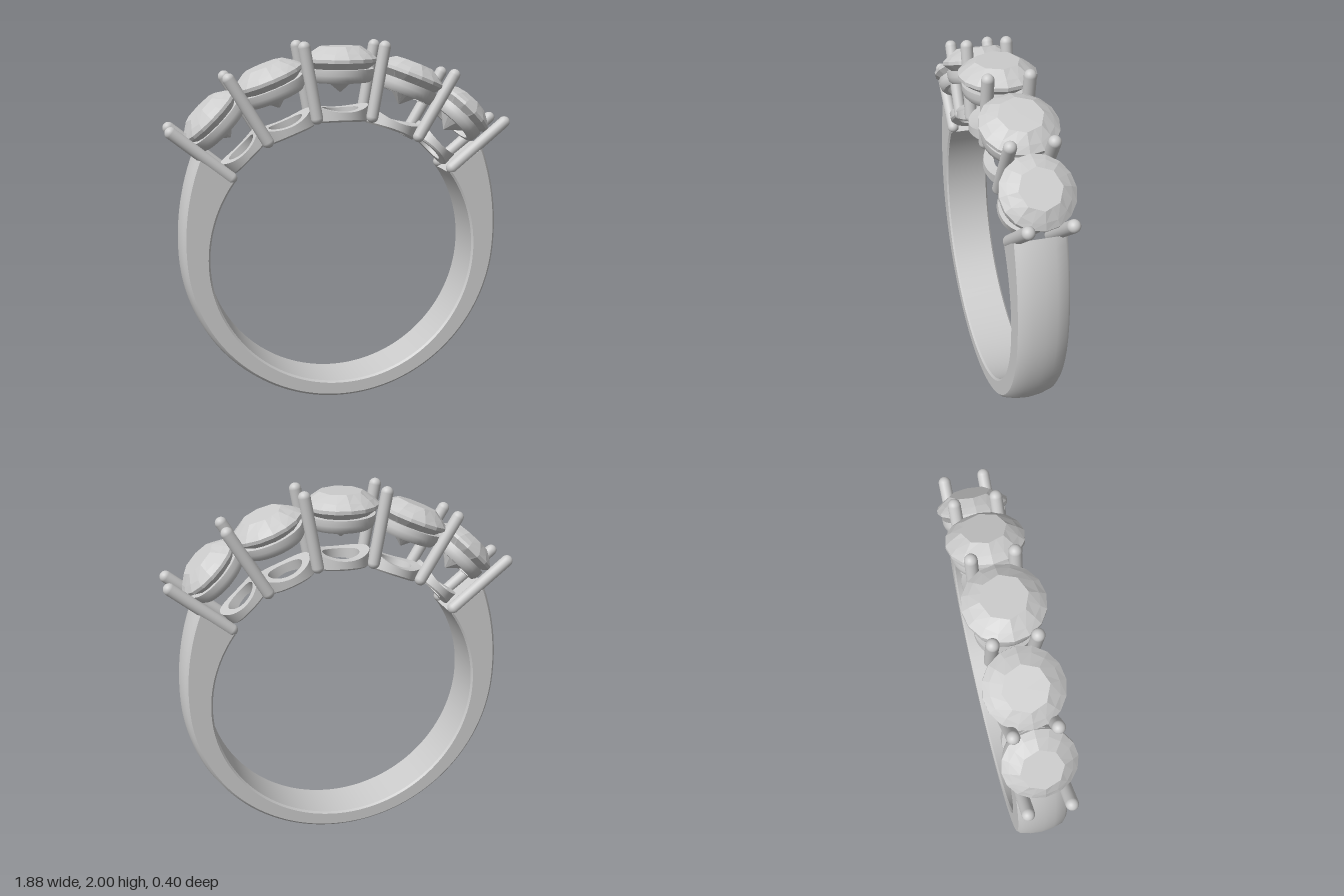
import * as THREE from 'three';
import { toCreasedNormals } from 'three/addons/utils/BufferGeometryUtils.js';

const metal = new THREE.MeshStandardMaterial({ color: 0xcccccc });
const faceted = new THREE.MeshStandardMaterial({ color: 0xcccccc, flatShading: true });

// Skin a list of closed loops (arrays of Vector3) and cap both ends.
function loft(loops) {
  const n = loops[0].length, pos = [], index = [];
  loops.forEach(l => l.forEach(p => pos.push(p.x, p.y, p.z)));
  for (let i = 0; i < loops.length - 1; i++)
    for (let j = 0; j < n; j++) {
      const a = i * n + j, b = i * n + (j + 1) % n;
      index.push(a, b, b + n, a, b + n, a + n);
    }
  [0, loops.length - 1].forEach((i, end) => {
    const c = loops[i].reduce((s, p) => s.add(p), new THREE.Vector3()).divideScalar(n);
    const k = pos.length / 3;
    pos.push(c.x, c.y, c.z);
    for (let j = 0; j < n; j++) {
      const a = i * n + j, b = i * n + (j + 1) % n;
      if (end) index.push(k, a, b); else index.push(k, b, a);
    }
  });
  const g = new THREE.BufferGeometry();
  g.setAttribute('position', new THREE.Float32BufferAttribute(pos, 3));
  g.setIndex(index);
  g.computeVertexNormals();
  return g;
}

function mesh(name, geometry, material = metal) {
  const m = new THREE.Mesh(geometry, material);
  m.name = name;
  return m;
}

// Open band: round inside, slightly domed outside, thicker towards the shoulders.
function bandGeometry() {
  const inner = 0.735, centreY = 0.85, end = 126, steps = 96, loops = [];
  for (let i = 0; i <= steps; i++) {
    const deg = -end + (2 * end * i) / steps, d = Math.abs(deg);
    const out = d < 90 ? 0.847 + 0.043 * (d / 90) ** 2
      : 0.89 + 0.001 * (d - 90) + 4.55e-5 * (d - 90) ** 2;
    const half = [[0.12, inner], [0.13, inner + 0.01], [0.13, out - 0.036],
      [0.115, out - 0.021], [0.06, out - 0.006]];
    const section = [...half, [0, out], ...half.map(([z, r]) => [-z, r]).reverse()];
    const a = THREE.MathUtils.degToRad(deg);
    loops.push(section.map(([z, r]) =>
      new THREE.Vector3(r * Math.sin(a), centreY - r * Math.cos(a), z)));
  }
  return toCreasedNormals(loft(loops), 0.6);
}

// Round brilliant stone with its girdle at y = 0.
// Each ring: radius and height for even corners, then for odd corners.
function stoneGeometry() {
  const rings = [
    [0.004, -0.17, 0.004, -0.17],
    [0.1, -0.09, 0.094, -0.09],
    [0.2, -0.01, 0.2, -0.01],
    [0.2, 0.008, 0.2, 0.008],
    [0.165, 0.037, 0.168, 0.032],
    [0.115, 0.07, 0.106, 0.07],
  ];
  return loft(rings.map(r => Array.from({ length: 16 }, (_, j) => {
    const a = (j / 16) * Math.PI * 2, k = (j % 2) * 2;
    return new THREE.Vector3(r[k] * Math.cos(a), r[k + 1], -r[k] * Math.sin(a));
  })));
}

function latheRing(points) {
  const p = points.map(([r, y]) => new THREE.Vector2(r, y));
  return new THREE.LatheGeometry([...p, p[0]], 48);
}

// Upper ring that carries the stone.
function seatGeometry() {
  return toCreasedNormals(latheRing([[0.135, -0.115], [0.16, -0.115], [0.174, -0.1],
    [0.181, -0.075], [0.181, -0.045], [0.135, -0.045]]), 0.6);
}

// Lower ring: underside follows the finger, top rises towards the prongs.
function baseRingGeometry() {
  const g = latheRing([[0.098, -0.315], [0.14, -0.315], [0.15, -0.305],
    [0.15, -0.265], [0.098, -0.265]]);
  const p = g.attributes.position;
  for (let i = 0; i < p.count; i++) {
    const x = p.getX(i), y = p.getY(i);
    p.setY(i, y + x * x * (y < -0.29 ? -0.68 : 1.3));
  }
  return toCreasedNormals(g, 0.6);
}

// Round-ended rod between two points.
function prong(from, to, z) {
  const a = new THREE.Vector3(...from, z), b = new THREE.Vector3(...to, z);
  const dir = b.clone().sub(a), r = 0.032;
  const m = mesh('prong', new THREE.CapsuleGeometry(r, dir.length() - 2 * r, 8, 20));
  m.position.copy(a).add(b).multiplyScalar(0.5);
  m.quaternion.setFromUnitVectors(new THREE.Vector3(0, 1, 0), dir.normalize());
  return m;
}

export function createModel() {
  const ring = new THREE.Group();
  ring.name = 'fiveStoneRing';
  ring.add(mesh('band', bandGeometry()));

  // Five settings: x, y of the girdle, outward tilt in degrees, scale
  const stone = stoneGeometry(), seat = seatGeometry(), base = baseRingGeometry();
  const settings = [[0, 1.9, 0, 1], [0.392, 1.81, 21.5, 0.98], [0.703, 1.62, 44, 0.92]];
  for (const [x, y, tilt, size] of settings)
    for (const side of x ? [1, -1] : [1]) {
      const s = new THREE.Group();
      s.name = 'setting';
      s.add(mesh('stone', stone, faceted), mesh('seatRing', seat), mesh('baseRing', base));
      s.position.set(side * x, y, 0);
      s.rotation.z = -side * THREE.MathUtils.degToRad(tilt);
      s.scale.setScalar(size);
      ring.add(s);
    }

  // Prongs shared between neighbouring stones, front and back
  const prongs = [[[0.145, 1.572], [0.221, 2.0]], [[0.397, 1.462], [0.624, 1.842]],
    [[0.585, 1.288], [0.933, 1.572]]];
  for (const [a, b] of prongs)
    for (const side of [1, -1])
      for (const z of [0.105, -0.105])
        ring.add(prong([side * a[0], a[1]], [side * b[0], b[1]], z));

  return ring;
}
